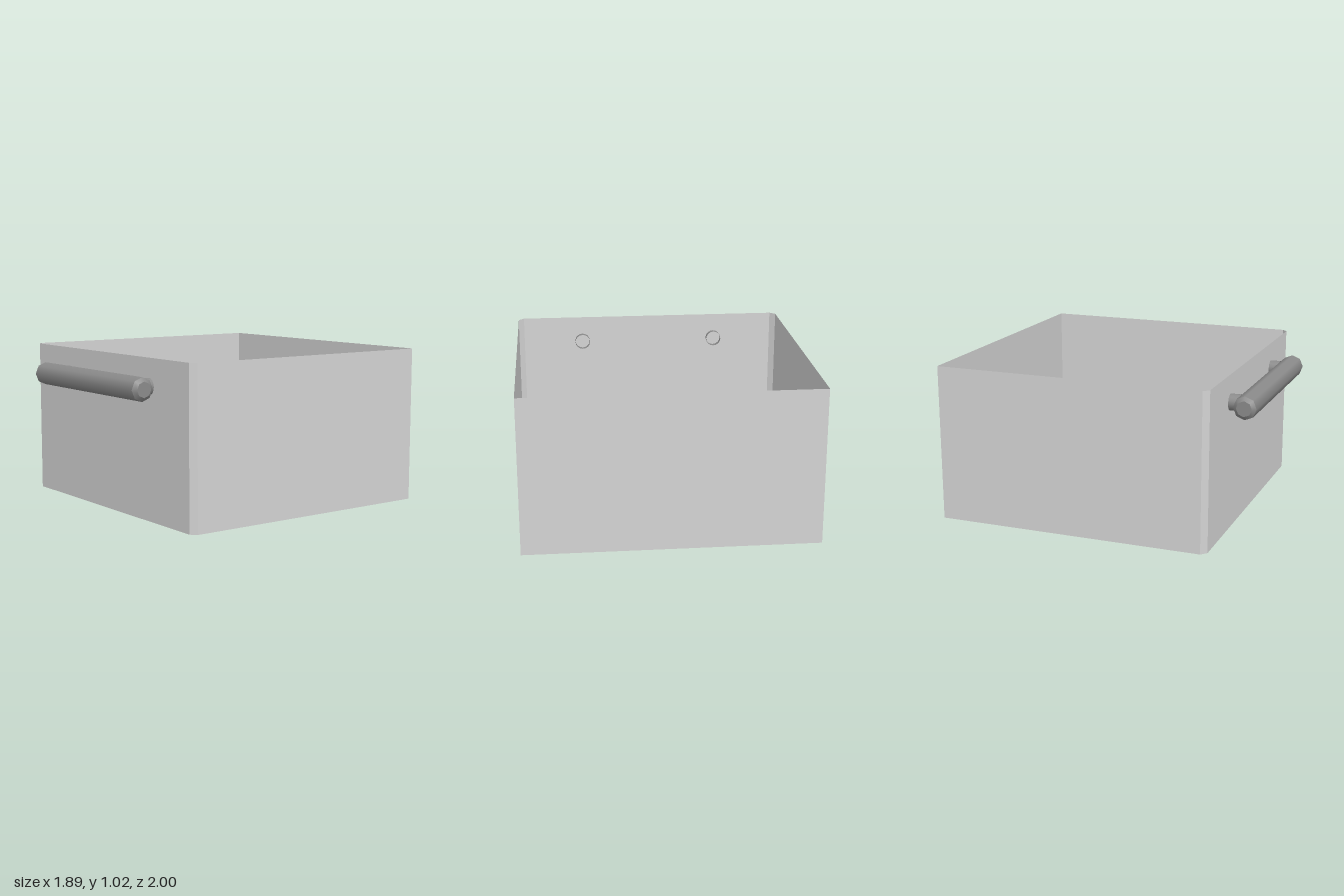
import * as THREE from 'three';

export function createModel() {
  const model = new THREE.Group();
  model.name = 'drawer';
  const makeMaterial = (name, color) => {
    const material = new THREE.MeshStandardMaterial({ color, side: THREE.DoubleSide });
    material.name = name;
    return material;
  };
  const lightGrey = makeMaterial('lightGrey', 0xd4d4d4);
  const midGrey = makeMaterial('midGrey', 0x8b8b8b);

  const add = (name, geometry, material, x, y, z) => {
    const mesh = new THREE.Mesh(geometry, material);
    mesh.name = name;
    mesh.position.set(x, y, z);
    model.add(mesh);
  };

  // Plan of the tray as [x, z], with small chamfers at the front corners
  const height = 1.023;
  const plan = [
    [-0.945, -1], [-0.945, 0.765], [-0.908, 0.8],
    [0.908, 0.8], [0.945, 0.765], [0.945, -1],
  ];

  // Thin sheet walls around the plan
  const positions = [];
  plan.forEach(([ax, az], i) => {
    const [bx, bz] = plan[(i + 1) % plan.length];
    positions.push(ax, 0, az, bx, 0, bz, bx, height, bz);
    positions.push(ax, 0, az, bx, height, bz, ax, height, az);
  });
  const walls = new THREE.BufferGeometry();
  walls.setAttribute('position', new THREE.Float32BufferAttribute(positions, 3));
  walls.computeVertexNormals();
  add('trayWalls', walls, lightGrey, 0, 0, 0);

  // Floor sheet, facing down
  const floorShape = new THREE.Shape(plan.map(([x, z]) => new THREE.Vector2(x, z)));
  const floor = new THREE.ShapeGeometry(floorShape).rotateX(Math.PI / 2);
  add('trayFloor', floor, lightGrey, 0, 0, 0);

  // Handle bar: eight-sided, with bevelled ends
  const barY = 0.846, barZ = 0.925, radius = 0.075;
  const bar = new THREE.CylinderGeometry(radius, radius, 1.2, 8, 1, true).rotateZ(Math.PI / 2);
  add('handleBar', bar, midGrey, 0, barY, barZ);
  for (const side of [-1, 1]) {
    const bevel = new THREE.CylinderGeometry(0.05, radius, 0.022, 8, 1, true).rotateZ(-side * Math.PI / 2);
    add('handleBevel', bevel, midGrey, side * 0.611, barY, barZ);
    const cap = new THREE.CircleGeometry(0.05, 8).rotateY(side * Math.PI / 2);
    add('handleEnd', cap, midGrey, side * 0.622, barY, barZ);

    // Hollow post passing through the front wall
    const post = new THREE.CylinderGeometry(0.053, 0.053, 0.106, 16, 1, true).rotateX(Math.PI / 2);
    add('handlePost', post, midGrey, side * 0.484, barY, 0.815);
  }
  return model;
}
